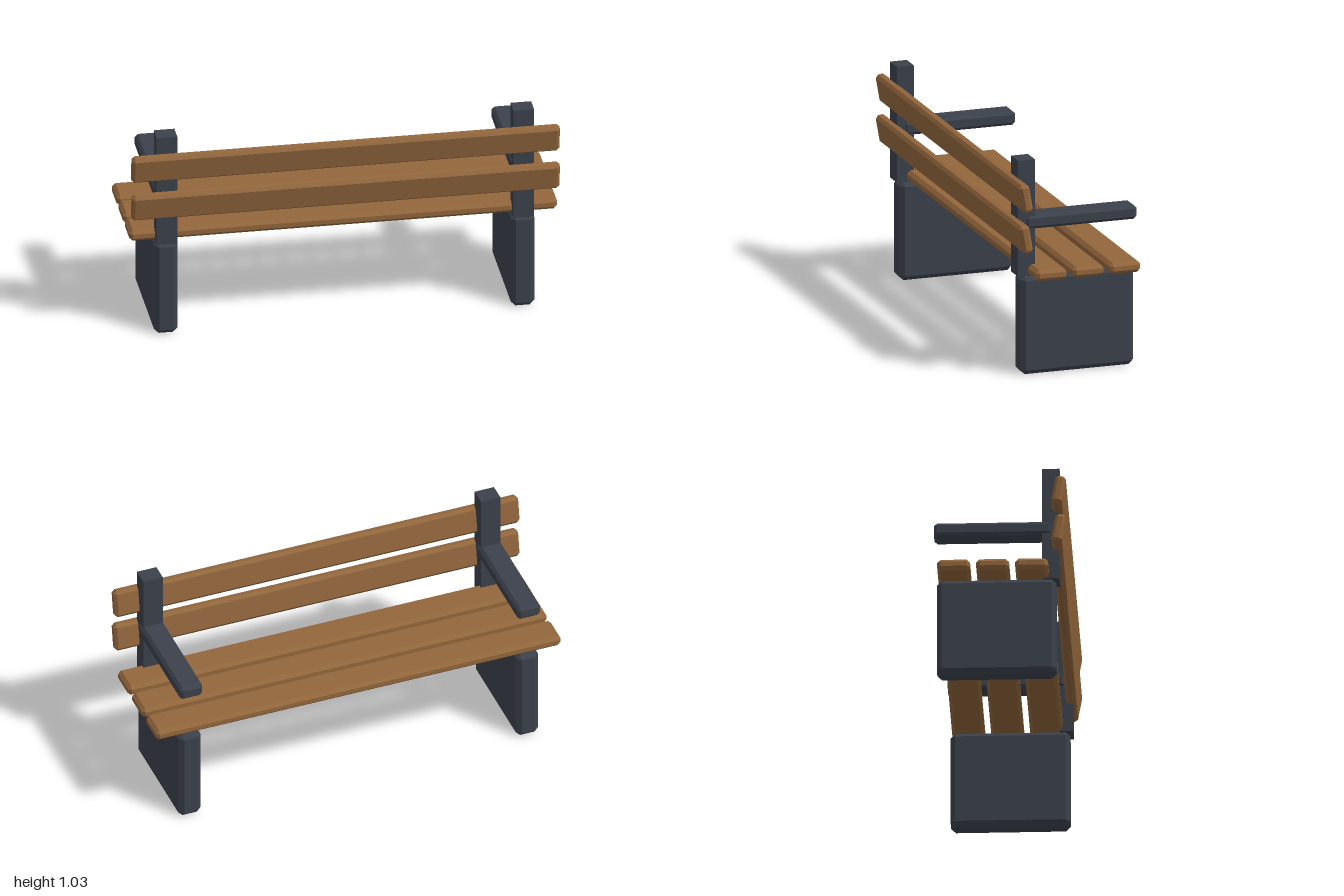
import * as THREE from 'three';
import { ConvexGeometry } from 'three/addons/geometries/ConvexGeometry.js';

// Box with every edge cut at 45 degrees by c
function chamferBox(w, h, d, c) {
  const points = [];
  for (const sx of [-1, 1]) for (const sy of [-1, 1]) for (const sz of [-1, 1]) {
    const x = w / 2, y = h / 2, z = d / 2;
    points.push(
      new THREE.Vector3(sx * x, sy * (y - c), sz * (z - c)),
      new THREE.Vector3(sx * (x - c), sy * y, sz * (z - c)),
      new THREE.Vector3(sx * (x - c), sy * (y - c), sz * z)
    );
  }
  return new ConvexGeometry(points);
}

export function createModel() {
  const bench = new THREE.Group();
  bench.name = 'bench';
  const wood = new THREE.MeshStandardMaterial({ color: 0x92663c });
  wood.name = 'wood';
  const iron = new THREE.MeshStandardMaterial({ color: 0x3b414b });
  iron.name = 'dark iron';

  const add = (name, geometry, material, x, y, z) => {
    const mesh = new THREE.Mesh(geometry, material);
    mesh.name = name;
    mesh.position.set(x, y, z);
    bench.add(mesh);
    return mesh;
  };

  // Seat planks
  const plank = chamferBox(2, 0.054, 0.152, 0.016);
  [0.15, -0.03, -0.21].forEach((z, i) => add(`seatPlank${i + 1}`, plank, wood, 0, 0.501, z));

  // Tilted back slats, behind the posts
  const slat = chamferBox(2, 0.137, 0.05, 0.014);
  [0.681, 0.876].forEach((y, i) => {
    add(`backSlat${i + 1}`, slat, wood, 0, y, 0.274).rotation.x = THREE.MathUtils.degToRad(10);
  });

  // Slab legs, back posts and armrests, mirrored
  const leg = chamferBox(0.11, 0.474, 0.552, 0.022);
  const post = new THREE.BoxGeometry(0.096, 0.556, 0.082);
  const arm = chamferBox(0.112, 0.066, 0.545, 0.014);
  for (const [side, s] of [['left', 1], ['right', -1]]) {
    const x = s * 0.834;
    add(`${side}Leg`, leg, iron, x, 0.237, -0.016);
    add(`${side}Post`, post, iron, x, 0.752, 0.234);
    add(`${side}Armrest`, arm, iron, x, 0.73, -0.033);
  }
  return bench;
}
